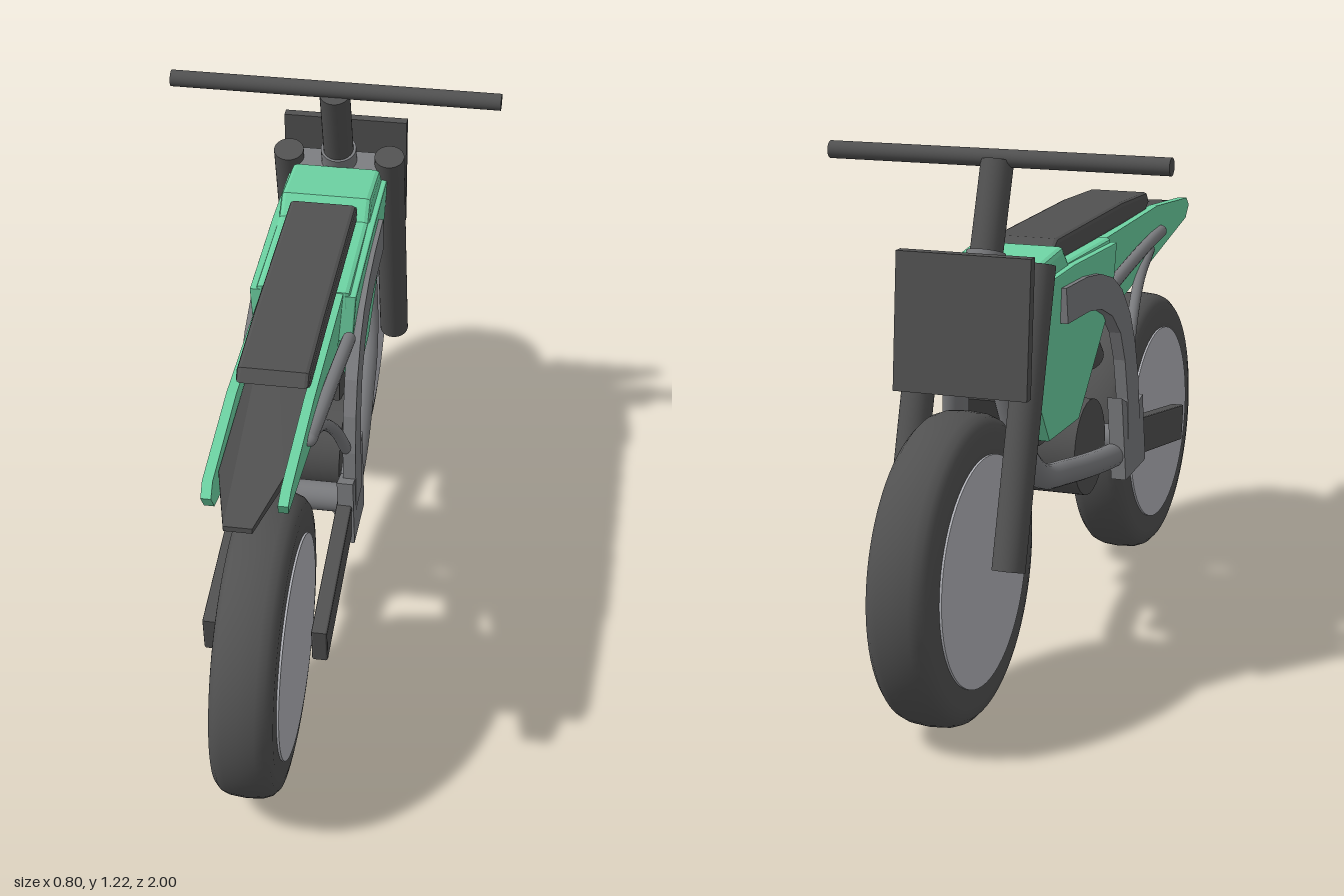
import * as THREE from 'three';
import { toCreasedNormals } from 'three/addons/utils/BufferGeometryUtils.js';

const mat = (name, color) => {
  const m = new THREE.MeshStandardMaterial({ color });
  m.name = name;
  return m;
};

export function createModel() {
  const bike = new THREE.Group();
  bike.name = 'dirtBike';
  const dark = mat('darkRubber', 0x515151);
  const grey = mat('frameGrey', 0x7a7b7e);
  const silver = mat('wheelSilver', 0xb2b3b9);
  const green = mat('bodyGreen', 0x6dd3a3);

  const add = (name, geometry, material) => {
    const mesh = new THREE.Mesh(geometry, material);
    mesh.name = name;
    bike.add(mesh);
    return mesh;
  };
  const V = (x, y, z) => new THREE.Vector3(x, y, z);

  // Side profile given as [z, y] points, extruded across x and leaned by slope
  const plate = (name, pts, x0, x1, material, { bevel = 0, lean = 0, pivot = 0, side = 1 } = {}) => {
    const shape = new THREE.Shape(pts.map(p => new THREE.Vector2(p[0], p[1])));
    const g = new THREE.ExtrudeGeometry(shape, {
      depth: x1 - x0 - 2 * bevel, bevelEnabled: bevel > 0, bevelSize: bevel,
      bevelOffset: -bevel, bevelThickness: bevel, bevelSegments: 2, curveSegments: 8
    });
    g.rotateY(-Math.PI / 2).translate(x1 - bevel, 0, 0);
    const p = g.attributes.position;
    for (let i = 0; i < p.count; i++) p.setX(i, p.getX(i) + side * lean * (p.getY(i) - pivot));
    g.computeVertexNormals();
    return add(name, g, material);
  };
  const platePair = (name, pts, x0, x1, material, opt = {}) => {
    plate(name + 'Left', pts, x0, x1, material, { ...opt, side: 1 });
    plate(name + 'Right', pts, -x1, -x0, material, { ...opt, side: -1 });
  };

  // Straight round bar between two points
  const rod = (name, a, b, r, material) => {
    const m = add(name, new THREE.CylinderGeometry(r, r, a.distanceTo(b), 28), material);
    m.position.copy(a).add(b).multiplyScalar(0.5);
    m.quaternion.setFromUnitVectors(V(0, 1, 0), b.clone().sub(a).normalize());
    return m;
  };
  // Curved tube on both sides
  const tubePair = (name, pts, r, material) => {
    for (const s of [1, -1]) {
      const curve = new THREE.CatmullRomCurve3(pts.map(p => V(s * p[0], p[1], p[2])));
      add(name + (s > 0 ? 'Left' : 'Right'), new THREE.TubeGeometry(curve, 48, r, 14), material);
      for (const end of [pts[0], pts[pts.length - 1]]) {
        const cap = add(name + 'Cap', new THREE.SphereGeometry(r, 14, 10), material);
        cap.position.set(s * end[0], end[1], end[2]);
      }
    }
  };

  // Wheels: tyre with rounded shoulders and a solid disc
  const tyreProfile = [[0.25, -0.07], [0.3, -0.07], [0.322, -0.066], [0.335, -0.054], [0.342, -0.036],
    [0.345, 0], [0.342, 0.036], [0.335, 0.054], [0.322, 0.066], [0.3, 0.07], [0.25, 0.07]]
    .map(p => new THREE.Vector2(p[0], p[1]));
  for (const [name, z] of [['rear', 0.655], ['front', -0.655]]) {
    const tyre = toCreasedNormals(new THREE.LatheGeometry(tyreProfile, 72).rotateZ(Math.PI / 2), 0.6);
    add(name + 'Tyre', tyre, dark).position.set(0, 0.345, z);
    const disc = new THREE.CylinderGeometry(0.256, 0.256, 0.15, 64).rotateZ(Math.PI / 2);
    add(name + 'WheelDisc', disc, silver).position.set(0, 0.345, z);
  }

  // Swingarm and its pivot brackets
  platePair('swingarm', [[0.66, 0.395], [0.645, 0.303], [0.2, 0.375], [0.2, 0.47]], 0.105, 0.142, dark, { bevel: 0.005 });
  platePair('pivotBracket', [[0.28, 0.35], [0.275, 0.52], [0.21, 0.5], [0.105, 0.55], [0.115, 0.34]],
    0.108, 0.146, grey, { lean: -0.04, pivot: 0.45 });
  rod('pivotAxle', V(-0.11, 0.42, 0.2), V(0.11, 0.42, 0.2), 0.035, grey);

  // Flat arched main frame beams
  platePair('frameBeam', [[0.243, 0.42], [0.235, 0.58], [0.215, 0.67], [0.18, 0.75], [0.12, 0.82], [0.05, 0.862],
    [-0.04, 0.888], [-0.14, 0.9], [-0.29, 0.903], [-0.285, 0.82], [-0.13, 0.817], [-0.04, 0.803], [0.04, 0.77],
    [0.1, 0.715], [0.13, 0.64], [0.145, 0.54], [0.145, 0.42]], 0.105, 0.135, grey, { lean: -0.03, pivot: 0.85 });

  // Lower cradle tubes and subframe tubes
  tubePair('cradleTube', [[0.115, 0.39, 0.2], [0.112, 0.415, 0], [0.1, 0.445, -0.2], [0.09, 0.475, -0.34],
    [0.08, 0.54, -0.42], [0.065, 0.66, -0.47], [0.05, 0.77, -0.495], [0.03, 0.87, -0.48]], 0.03, grey);
  tubePair('upperSubframeTube', [[0.092, 0.878, 0.59], [0.1, 0.87, 0.45], [0.105, 0.85, 0.28], [0.11, 0.83, 0.13]], 0.016, grey);
  tubePair('lowerSubframeTube', [[0.08, 0.84, 0.53], [0.09, 0.785, 0.41], [0.105, 0.69, 0.3], [0.12, 0.58, 0.22]], 0.014, grey);

  // Engine, airbox and rear shock
  rod('engineCase', V(-0.09, 0.447, 0.015), V(0.09, 0.447, 0.015), 0.118, dark);
  plate('engineBlock', [[0.03, 0.9], [0.03, 0.58], [-0.06, 0.535], [-0.31, 0.535], [-0.41, 0.66], [-0.41, 0.9]], -0.075, 0.075, dark);
  rod('rearShock', V(0, 0.8, 0.08), V(0, 0.61, 0.255), 0.045, dark);

  // Green bodywork
  platePair('tankPanel', [[0.115, 0.935], [0.11, 0.81], [0.02, 0.695], [-0.1, 0.548], [-0.31, 0.548], [-0.425, 0.69],
    [-0.455, 0.8], [-0.445, 0.93], [-0.2, 0.94]], 0.075, 0.122, green, { lean: 0.06, pivot: 0.9, bevel: 0.004 });
  plate('tankTop', [[0.115, 0.945], [0.115, 0.9], [-0.44, 0.86], [-0.445, 0.93], [-0.41, 0.97], [-0.24, 0.987], [-0.2, 0.945]],
    -0.11, 0.11, green, { bevel: 0.012 });
  platePair('tailPanel', [[0.86, 0.905], [0.83, 0.928], [0.55, 0.952], [0.11, 0.942], [0.11, 0.725], [0.2, 0.735],
    [0.5, 0.8], [0.84, 0.872]], 0.07, 0.092, green, { lean: 0.08, pivot: 0.92 });

  // Seat
  plate('seat', [[0.53, 0.965], [0.51, 0.992], [0.3, 1.0], [-0.19, 0.995], [-0.22, 0.975], [-0.2, 0.94], [0.5, 0.945]],
    -0.08, 0.08, dark, { bevel: 0.01 });

  // Rear fender tapering to a thin tip
  const fenderShape = new THREE.Shape([[-0.068, 0.1], [0.068, 0.1], [0.068, 0.78], [0.03, 0.935], [-0.03, 0.935], [-0.068, 0.78]]
    .map(p => new THREE.Vector2(p[0], p[1])));
  const fender = new THREE.ExtrudeGeometry(fenderShape, { depth: 1, bevelEnabled: false }).rotateX(Math.PI / 2);
  const fp = fender.attributes.position;
  for (let i = 0; i < fp.count; i++) {
    const t = (fp.getZ(i) - 0.1) / 0.835;
    fp.setY(i, 0.95 - 0.05 * t * t + fp.getY(i) * (0.065 - 0.053 * t));
  }
  fender.computeVertexNormals();
  add('rearFender', fender, dark);

  // Front fork, steering stem and handlebar
  for (const s of [1, -1]) rod(s > 0 ? 'forkLeft' : 'forkRight', V(s * 0.126, 0.987, -0.45), V(s * 0.126, 0.35, -0.652), 0.037, dark);
  rod('steeringStem', V(0, 1.195, -0.37), V(0, 0.86, -0.495), 0.037, dark);
  rod('headTube', V(0, 1.005, -0.442), V(0, 0.785, -0.525), 0.044, grey);
  for (const [y, z] of [[0.95, -0.465], [0.81, -0.51]]) {
    const clamp = add('forkClamp', new THREE.BoxGeometry(0.24, 0.03, 0.06), grey);
    clamp.position.set(0, y, z);
    clamp.rotation.x = 0.32;
  }
  rod('handlebar', V(-0.4, 1.203, -0.372), V(0.4, 1.203, -0.372), 0.02, dark);

  // Front plate ahead of the fork
  plate('frontPlate', [[-0.558, 1.025], [-0.583, 1.025], [-0.613, 0.72], [-0.587, 0.72]], -0.155, 0.155, dark);
  return bike;
}
